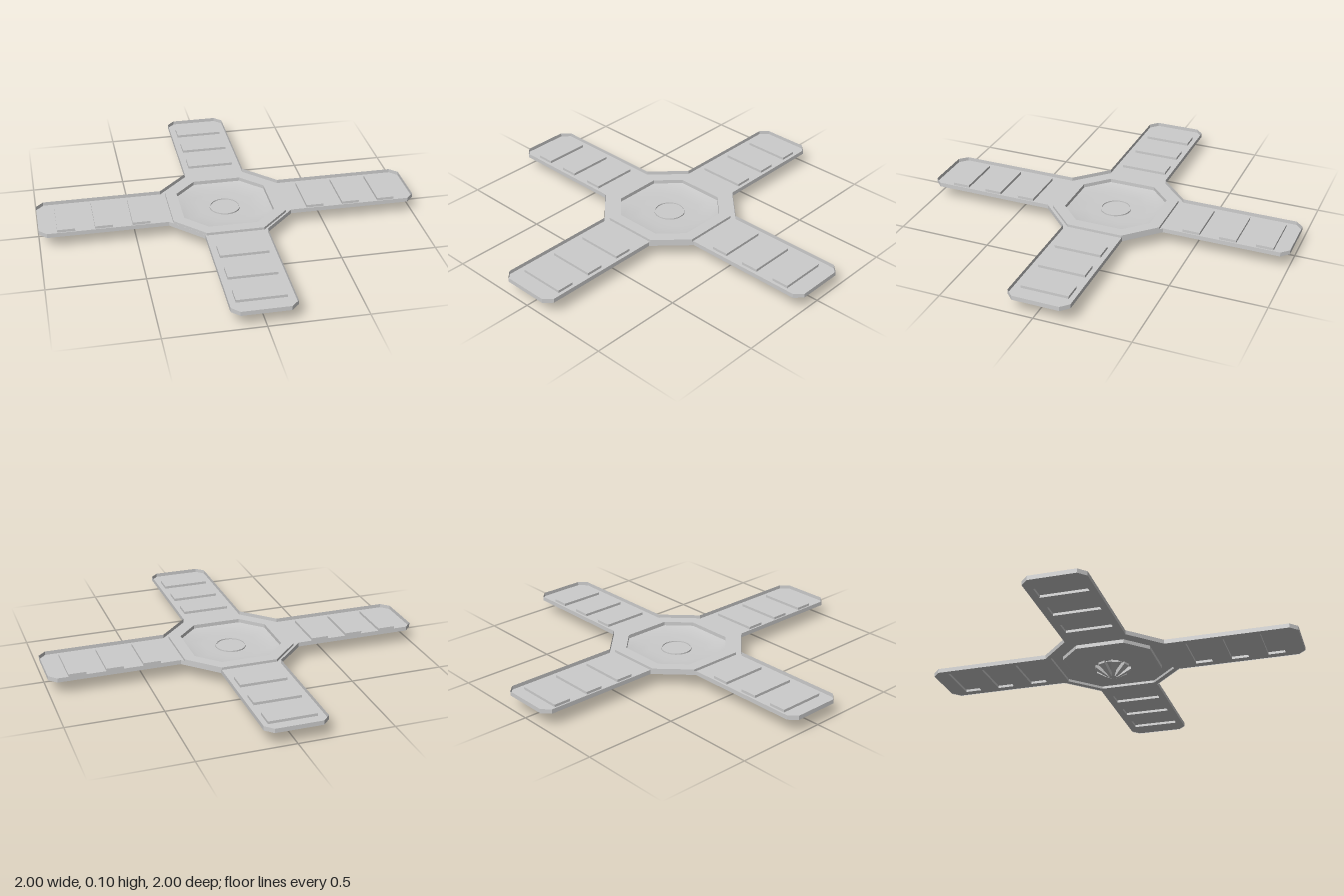
import * as THREE from 'three';

const CX = -0.006, CZ = -0.015; // hub centre
const SHEET = 0.08, RIM = 0.1, PRESS = 0.094;
const flat = new THREE.MeshStandardMaterial({ color: 0xcccccc, side: THREE.DoubleSide, flatShading: true });
const smooth = new THREE.MeshStandardMaterial({ color: 0xcccccc, side: THREE.DoubleSide });

function add(parent, name, geometry, material = flat) {
  const mesh = new THREE.Mesh(geometry, material);
  mesh.name = name;
  parent.add(mesh);
  return mesh;
}

// Octagon loop in x,z: half width r, half length of the straight sides f
function octagon(r, f) {
  return [[r, -f], [r, f], [f, r], [-f, r], [-r, f], [-r, -f], [-f, -r], [f, -r]]
    .map(([x, z]) => [x + CX, z + CZ]);
}

function rectangle(x, z, w, d) {
  return [[x + w / 2, z - d / 2], [x + w / 2, z + d / 2], [x - w / 2, z + d / 2], [x - w / 2, z - d / 2]];
}

// Flat horizontal sheet with holes
function sheet(loop, y, holes = []) {
  const points = l => l.map(([x, z]) => new THREE.Vector2(x, -z));
  const shape = new THREE.Shape(points(loop));
  holes.forEach(h => shape.holes.push(new THREE.Path(points(h))));
  return new THREE.ShapeGeometry(shape).rotateX(-Math.PI / 2).translate(0, y, 0);
}

// Skin through equal-sized loops, listed from bottom to top: [loop, y]
function skin(rings) {
  const n = rings[0][0].length, position = [], index = [];
  rings.forEach(([loop, y]) => loop.forEach(([x, z]) => position.push(x, y, z)));
  for (let k = 0; k < rings.length - 1; k++) {
    for (let i = 0; i < n; i++) {
      const a = k * n + i, b = k * n + (i + 1) % n;
      index.push(a, a + n, b, b, a + n, b + n);
    }
  }
  const g = new THREE.BufferGeometry();
  g.setAttribute('position', new THREE.Float32BufferAttribute(position, 3));
  g.setIndex(index);
  g.computeVertexNormals();
  return g;
}

// Outline of the four arms with clipped tips and chamfered inner corners
function crossOutline() {
  const half = 0.163, root = 0.325, clip = 0.04, out = [];
  const arms = [[1, 0, 1 - CX], [0, 1, 1 - CZ], [-1, 0, 1 + CX], [0, -1, 1 + CZ]];
  for (const [dx, dz, length] of arms) {
    const profile = [[root, -half], [length - clip, -half], [length, clip - half],
      [length, half - clip], [length - clip, half], [root, half]];
    for (const [u, v] of profile) out.push([CX + dx * u - dz * v, CZ + dz * u + dx * v]);
  }
  return out;
}

export function createModel() {
  const model = new THREE.Group();
  model.name = 'crossTray';

  // Arms: a thin tray with an upright rim
  const outline = crossOutline();
  const hubOuter = octagon(0.3, 0.15), hubInner = octagon(0.24, 0.128);
  const pads = [];
  for (const d of [0.46, 0.655, 0.85]) {
    pads.push(rectangle(d, CZ, 0.092, 0.25), rectangle(-d - 0.01, CZ, 0.092, 0.25));
    pads.push(rectangle(CX, d, 0.25, 0.092), rectangle(CX, -d - 0.02, 0.25, 0.092));
  }
  add(model, 'armSheet', sheet(outline, SHEET, [hubOuter, ...pads]));
  add(model, 'armRim', skin([[outline, SHEET - 0.003], [outline, RIM]]));

  // Pressed pads, hollow from below
  for (const loop of pads) {
    const pad = new THREE.Group();
    pad.name = 'pressedPad';
    add(pad, 'padTop', sheet(loop, PRESS));
    add(pad, 'padSides', skin([[loop, SHEET], [loop, PRESS]]));
    model.add(pad);
  }

  // Hub: raised octagonal frame around a shallow bowl
  add(model, 'hubFrame', sheet(hubOuter, PRESS, [hubInner]));
  add(model, 'hubFrameSide', skin([[hubOuter, SHEET], [hubOuter, PRESS]]));
  add(model, 'bowlWall', skin([[hubInner, 0.074], [hubInner, PRESS]]));
  add(model, 'bowl', skin([
    [octagon(0.075, 0.031), 0.06], [octagon(0.14, 0.066), 0.061],
    [octagon(0.2, 0.1), 0.064], [hubInner, 0.074],
  ]), smooth);

  // Finial: collar, cap and eight tapering ribs meeting at the tip
  const finial = new THREE.Group();
  finial.name = 'finial';
  finial.position.set(CX, 0, CZ);
  model.add(finial);
  const collar = [[0.076, 0.056], [0.082, 0.056], [0.082, 0.067], [0.076, 0.067], [0.076, 0.056]];
  add(finial, 'collar', new THREE.LatheGeometry(collar.map(p => new THREE.Vector2(...p)), 24));
  add(finial, 'cap', new THREE.CircleGeometry(0.08, 24).rotateX(-Math.PI / 2).translate(0, 0.061, 0));

  const rib = new THREE.Shape([[0, 0], [0.024, 0], [0.095, 0.046], [0.095, 0.058], [0.07, 0.058], [0, 0.014]]
    .map(p => new THREE.Vector2(...p)));
  const ribGeometry = new THREE.ExtrudeGeometry(rib, { depth: 0.04, bevelEnabled: false }).translate(0, 0, -0.02);
  const p = ribGeometry.attributes.position;
  for (let i = 0; i < p.count; i++) p.setZ(i, p.getZ(i) * (0.15 + 0.85 * p.getX(i) / 0.095));
  ribGeometry.computeVertexNormals();
  for (let i = 0; i < 8; i++) add(finial, 'rib', ribGeometry).rotation.y = (i + 0.5) * Math.PI / 4;

  return model;
}
